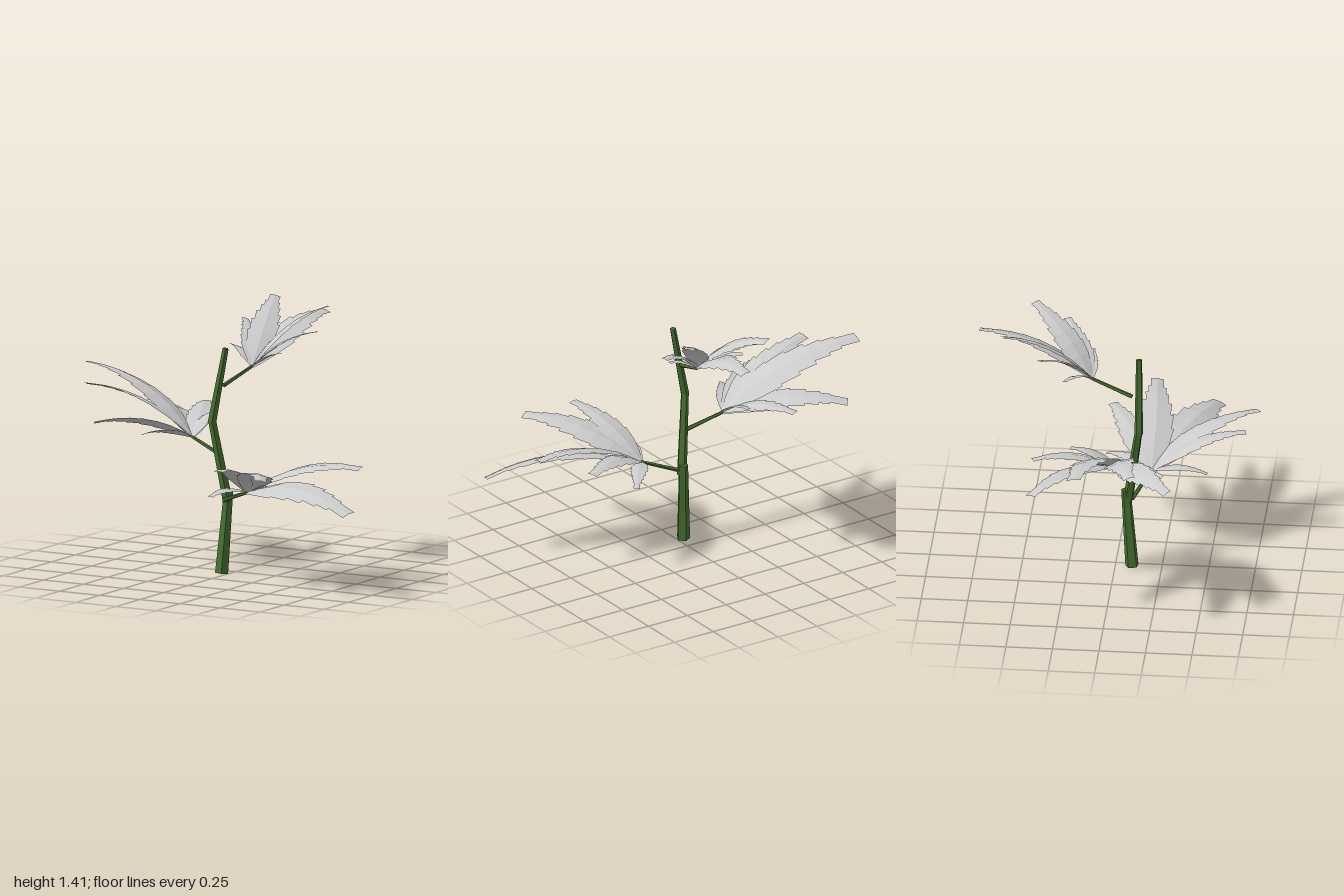
import * as THREE from 'three';

const V = ([x, y, z]) => new THREE.Vector3(x, y, z);
const UP = new THREE.Vector3(0, 1, 0);
const stemGreen = new THREE.MeshStandardMaterial({ color: 0x467030, flatShading: true });
stemGreen.name = 'stem green';
const leafGrey = new THREE.MeshStandardMaterial({ color: 0xcccccc, flatShading: true, side: THREE.DoubleSide });
leafGrey.name = 'leaf grey';

// Tapered five-sided rod between two points
function rod(name, from, to, r0, r1) {
  const a = V(from), b = V(to), d = b.clone().sub(a);
  const mesh = new THREE.Mesh(new THREE.CylinderGeometry(r1, r0, d.length(), 5, 1, false, 0.47), stemGreen);
  mesh.position.copy(a).add(b).multiplyScalar(0.5);
  mesh.quaternion.setFromUnitVectors(UP, d.normalize());
  mesh.name = name;
  return mesh;
}

// Half-width along a leaflet; repeated positions make the saw teeth
const outline = [
  [0, 0.15], [0.12, 0.55], [0.25, 0.85], [0.4, 1.03], [0.4, 0.9], [0.54, 0.98],
  [0.54, 0.8], [0.67, 0.84], [0.67, 0.62], [0.78, 0.66], [0.78, 0.5], [0.87, 0.5],
  [0.87, 0.36], [1, 0.36],
];

// Arched, slightly ridged blade from base to tip, rolled to its right
function leaflet(base, tip, roll) {
  const d = tip.clone().sub(base), len = d.length();
  d.normalize();
  const right = new THREE.Vector3().crossVectors(d, UP).normalize();
  const up = new THREE.Vector3().crossVectors(right, d).addScaledVector(right, roll).normalize();
  const side = new THREE.Vector3().crossVectors(d, up);
  const mid = base.clone().lerp(tip, 0.5).addScaledVector(up, len * 0.2);
  const curve = new THREE.QuadraticBezierCurve3(base, mid, tip);
  const pos = [], index = [];
  outline.forEach(([t, w], i) => {
    const p = curve.getPoint(t), half = w * (len * 0.128 + 0.006);
    for (const s of [-1, 0, 1]) {
      const q = p.clone().addScaledVector(side, s * half).addScaledVector(up, -Math.abs(s) * half * 0.15);
      pos.push(q.x, q.y, q.z);
    }
    if (i === 0 || outline[i - 1][0] === t) return;
    for (const c of [0, 1]) {
      const a = (i - 1) * 3 + c, b = i * 3 + c;
      index.push(a, a + 1, b, a + 1, b + 1, b);
    }
  });
  const g = new THREE.BufferGeometry();
  g.setAttribute('position', new THREE.Float32BufferAttribute(pos, 3));
  g.setIndex(index);
  g.computeVertexNormals();
  const mesh = new THREE.Mesh(g, leafGrey);
  mesh.name = 'leaflet';
  return mesh;
}

// Stalk root, leaf base and seven leaflets, each a tip point and a roll
const leaves = [
  { name: 'lowerLeaf', root: [-0.02, 0.4, 0.09], base: [0.18, 0.47, 0.175], tips: [
    [0.13, 0.49, 0.48, -0.1], [0.29, 0.67, 0.67, -0.05], [0.58, 0.65, 0.71, -0.2],
    [0.985, 0.47, 0.47, 0.28], [0.865, 0.66, 0.145, 0.18], [0.66, 0.61, -0.075, -0.1],
    [0.38, 0.46, -0.08, 0]] },
  { name: 'middleLeaf', root: [-0.05, 0.64, 0.08], base: [-0.25, 0.71, 0.03], tips: [
    [-0.25, 0.82, -0.22, -0.09], [-0.42, 0.83, -0.41, 0.12], [-0.77, 0.8, -0.39, 0.22],
    [-0.995, 1.03, -0.14, 0.25], [-0.845, 0.97, 0.145, 0.3], [-0.68, 0.8, 0.335, 0.4],
    [-0.41, 0.75, 0.285, 0.35]] },
  { name: 'upperLeaf', root: [-0.02, 1.02, 0.09], base: [0.025, 1.095, -0.13], tips: [
    [-0.18, 1.18, -0.26, 0.24], [-0.18, 1.3, -0.4, 0.27], [-0.11, 1.4, -0.6, 0.28],
    [0.12, 1.32, -0.74, 0.25], [0.3, 1.4, -0.46, -0.2], [0.34, 1.29, -0.29, -0.12],
    [0.21, 1.18, -0.14, -0.1]] },
];

export function createModel() {
  const model = new THREE.Group();
  model.name = 'plant';

  // Crooked main stem in three overlapping lengths
  model.add(
    rod('stemBase', [-0.033, 0, 0.09], [-0.01, 0.45, 0.055], 0.037, 0.026),
    rod('stemMiddle', [-0.008, 0.39, 0.068], [-0.07, 0.84, 0.13], 0.028, 0.022),
    rod('stemTop', [-0.07, 0.82, 0.13], [0.012, 1.23, 0.124], 0.024, 0.017),
  );

  // Fan-shaped leaves on thin stalks
  for (const { name, root, base, tips } of leaves) {
    const leaf = new THREE.Group();
    leaf.name = name;
    leaf.add(rod('stalk', root, base, 0.012, 0.009));
    for (const tip of tips) leaf.add(leaflet(V(base), V(tip), tip[3]));
    model.add(leaf);
  }
  return model;
}
